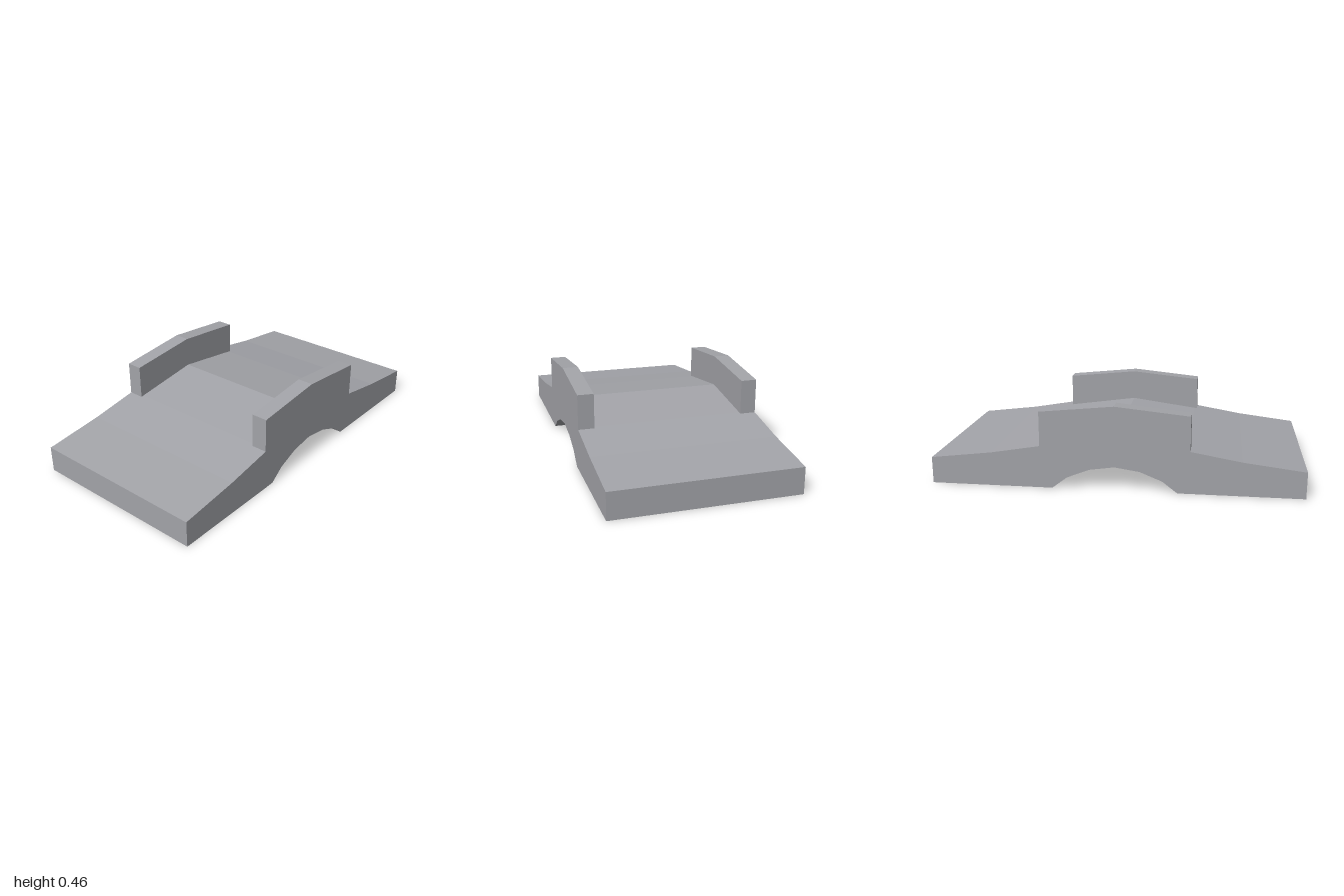
import * as THREE from 'three';

// Extrude a side profile along z, starting at z0
function slab(points, z0, depth, material, name) {
  const shape = new THREE.Shape(points.map(([x, y]) => new THREE.Vector2(x, y)));
  const geometry = new THREE.ExtrudeGeometry(shape, { depth, bevelEnabled: false });
  geometry.translate(0, 0, z0);
  const mesh = new THREE.Mesh(geometry, material);
  mesh.name = name;
  return mesh;
}

// Complete a half profile (ordered from x = 0 outwards) by mirroring it
const mirrored = (half) => [
  ...half.slice(1).reverse().map(([x, y]) => [-x, y]),
  ...half,
];

export function createModel() {
  const group = new THREE.Group();
  group.name = 'bridge';
  const stone = new THREE.MeshStandardMaterial({ color: 0xa3a4a9, flatShading: true });
  stone.name = 'grey stone';

  // Deck: sloping roadway above, faceted arch below
  const roadway = [[0, 0.287], [0.385, 0.234], [0.67, 0.185], [1, 0.145]];
  const arch = [[0, 0.13], [0.135, 0.11], [0.255, 0.062], [0.335, 0], [1, 0]];
  group.add(slab([...mirrored(arch), ...mirrored(roadway).reverse()], -0.5, 1, stone, 'deck'));

  // Parapets: peaked walls standing on the two edges of the deck
  const wallTop = [[0, 0.46], [0.4, 0.42]];
  const wallBase = [[0, 0.287], [0.385, 0.234], [0.4, 0.2314]];
  const wall = [...mirrored(wallBase), ...mirrored(wallTop).reverse()];
  const thickness = 0.087;
  group.add(slab(wall, 0.5 - thickness, thickness, stone, 'frontParapet'));
  group.add(slab(wall, -0.5, thickness, stone, 'backParapet'));

  return group;
}
